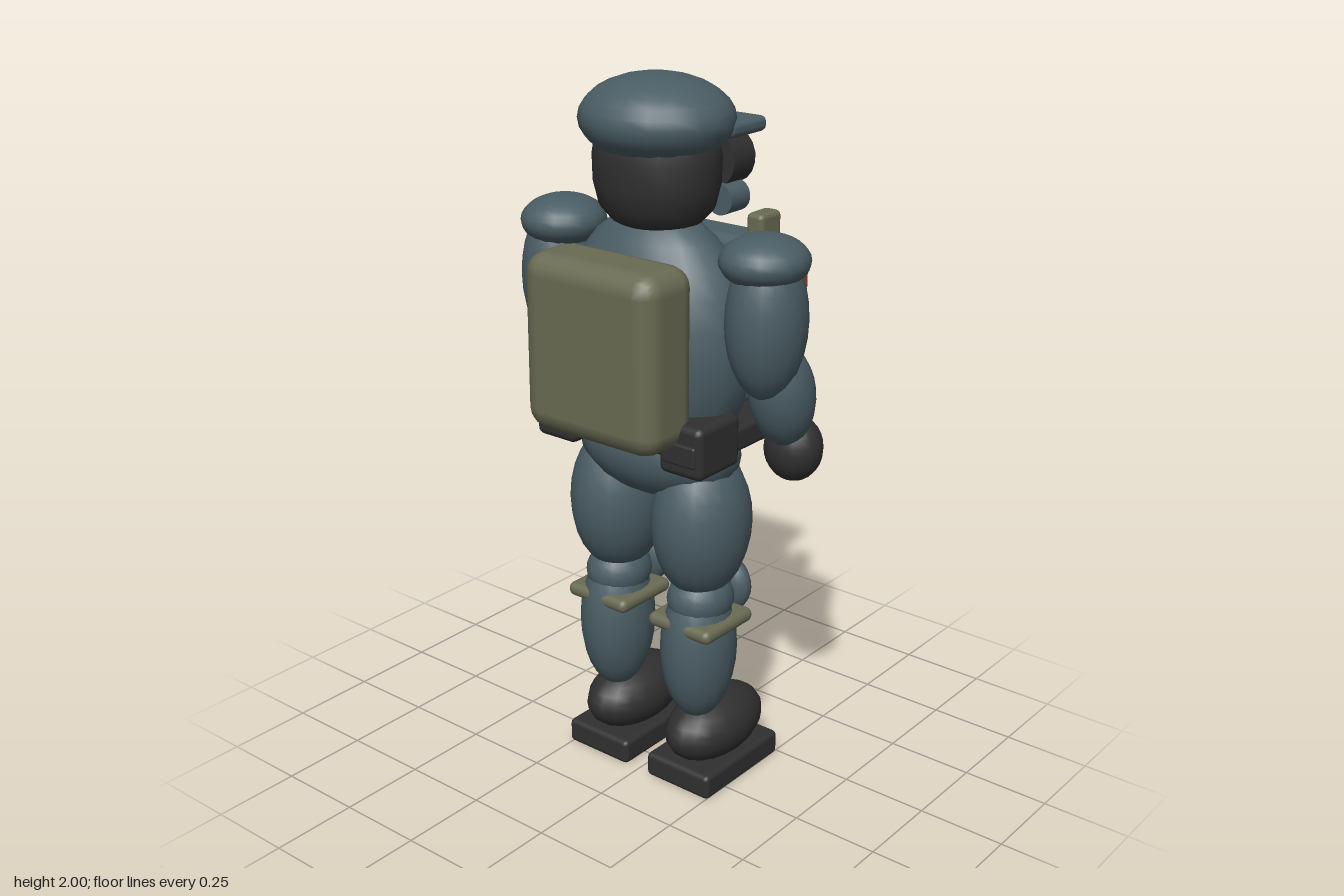
import * as THREE from 'three';
import { RoundedBoxGeometry } from 'three/addons/geometries/RoundedBoxGeometry.js';

export function createModel() {
  const model = new THREE.Group();
  model.name = 'soldier';

  const material = (name, color) => {
    const m = new THREE.MeshStandardMaterial({ color });
    m.name = name;
    return m;
  };
  const slate = material('slateCloth', 0x4a5d64);
  const dark = material('darkRubber', 0x303030);
  const olive = material('oliveCanvas', 0x696b53);
  const amber = material('amberGlass', 0xb07c2c);
  const red = material('redPatch', 0xa03c2e);

  const add = (name, geometry, mat, pos, rotX = 0) => {
    const mesh = new THREE.Mesh(geometry, mat);
    mesh.name = name;
    mesh.position.set(...pos);
    mesh.rotation.x = rotX;
    model.add(mesh);
    return mesh;
  };
  // Ellipsoid given by its three radii
  const ball = (name, mat, pos, radii, rotX) =>
    add(name, new THREE.SphereGeometry(1, 18, 14).scale(...radii), mat, pos, rotX);
  // Soft-edged box given by its full size
  const box = (name, mat, pos, size, radius = 0.012, rotX = 0) =>
    add(name, new RoundedBoxGeometry(...size, 2, radius), mat, pos, rotX);
  // Cylinder lying along z
  const disc = (name, mat, pos, radius, length) =>
    add(name, new THREE.CylinderGeometry(radius, radius, length, 18).rotateX(Math.PI / 2), mat, pos);

  // Head, cap and brim (the face looks toward -z)
  const hood = [[0, 1.6], [0.08, 1.602], [0.125, 1.622], [0.16, 1.66], [0.175, 1.72], [0.177, 1.79], [0.165, 1.86], [0, 1.92]];
  add('hood', new THREE.LatheGeometry(hood.map(([x, y]) => new THREE.Vector2(x, y)), 20).scale(1, 1, 0.87), dark, [0, 0, 0]);
  ball('cap', slate, [0, 1.885, 0], [0.21, 0.115, 0.195]);
  box('capBrim', slate, [0, 1.86, -0.145], [0.38, 0.042, 0.155], 0.018);

  // Breathing mask
  ball('maskMuzzle', dark, [0, 1.68, -0.13], [0.11, 0.07, 0.08]);
  disc('maskFilter', slate, [0, 1.672, -0.205], 0.043, 0.08);

  // Torso
  ball('torso', slate, [0, 1.3, 0], [0.29, 0.36, 0.19]);
  ball('pelvis', slate, [0, 1.0, -0.01], [0.255, 0.145, 0.16]);
  box('vestPlate', slate, [0, 1.355, -0.155], [0.45, 0.46, 0.13], 0.035);
  box('backpack', olive, [0, 1.318, 0.2], [0.44, 0.485, 0.2], 0.06);
  box('belt', dark, [0, 1.065, -0.04], [0.54, 0.07, 0.36], 0.015);
  box('beltBuckle', amber, [0, 1.065, -0.223], [0.085, 0.05, 0.025], 0.006);

  // Chest name tag
  box('nameTag', olive, [-0.095, 1.465, -0.235], [0.11, 0.07, 0.04], 0.008);
  box('nameTagStripe', red, [-0.095, 1.465, -0.256], [0.075, 0.024, 0.009], 0.003);

  // Paired parts
  for (const [side, s] of [['left', 1], ['right', -1]]) {
    const n = (part) => side + part;

    // Goggles and mask canisters
    disc(n('GoggleRim'), dark, [s * 0.088, 1.77, -0.16], 0.075, 0.09);
    disc(n('GoggleLens'), amber, [s * 0.088, 1.77, -0.205], 0.058, 0.042);
    disc(n('MaskCanister'), slate, [s * 0.125, 1.672, -0.14], 0.042, 0.08);

    // Harness strap, chest pouch and hip pouch
    box(n('HarnessStrap'), olive, [s * 0.205, 1.395, -0.19], [0.055, 0.485, 0.09], 0.015);
    box(n('ChestPouch'), olive, [s * 0.143, 1.217, -0.245], [0.185, 0.13, 0.09], 0.018);
    box(n('ChestPouchFlap'), slate, [s * 0.143, 1.233, -0.295], [0.195, 0.047, 0.02], 0.007);
    box(n('HipPouch'), dark, [s * 0.215, 1.077, 0.088], [0.14, 0.145, 0.175], 0.02);
    box(n('HipPouchFlap'), dark, [s * 0.215, 1.07, 0.172], [0.11, 0.06, 0.02], 0.007);

    // Arm
    ball(n('UpperArm'), slate, [s * 0.35, 1.41, -0.01], [0.104, 0.21, 0.115]);
    ball(n('ShoulderPad'), slate, [s * 0.338, 1.565, -0.013], [0.116, 0.07, 0.122]);
    box(n('ArmPatch'), red, [s * 0.338, 1.5, -0.12], [0.1, 0.05, 0.03], 0.006);
    ball(n('Forearm'), slate, [s * 0.358, 1.2, -0.075], [0.087, 0.15, 0.092], 0.2);
    ball(n('Glove'), dark, [s * 0.358, 1.032, -0.135], [0.082, 0.093, 0.076]);

    // Leg
    ball(n('Thigh'), slate, [s * 0.146, 0.8, -0.014], [0.133, 0.22, 0.15]);
    ball(n('Knee'), slate, [s * 0.148, 0.57, -0.01], [0.09, 0.085, 0.1]);
    ball(n('KneePad'), slate, [s * 0.148, 0.57, -0.13], [0.08, 0.086, 0.046]);
    ball(n('Shin'), slate, [s * 0.148, 0.42, -0.003], [0.104, 0.22, 0.115]);
    box(n('KneeStrap'), olive, [s * 0.148, 0.508, -0.01], [0.215, 0.042, 0.215], 0.02);
    ball(n('Boot'), dark, [s * 0.148, 0.145, -0.08], [0.108, 0.1, 0.182]);
    box(n('BootSole'), dark, [s * 0.148, 0.037, -0.075], [0.222, 0.074, 0.34], 0.015);
  }

  return model;
}
